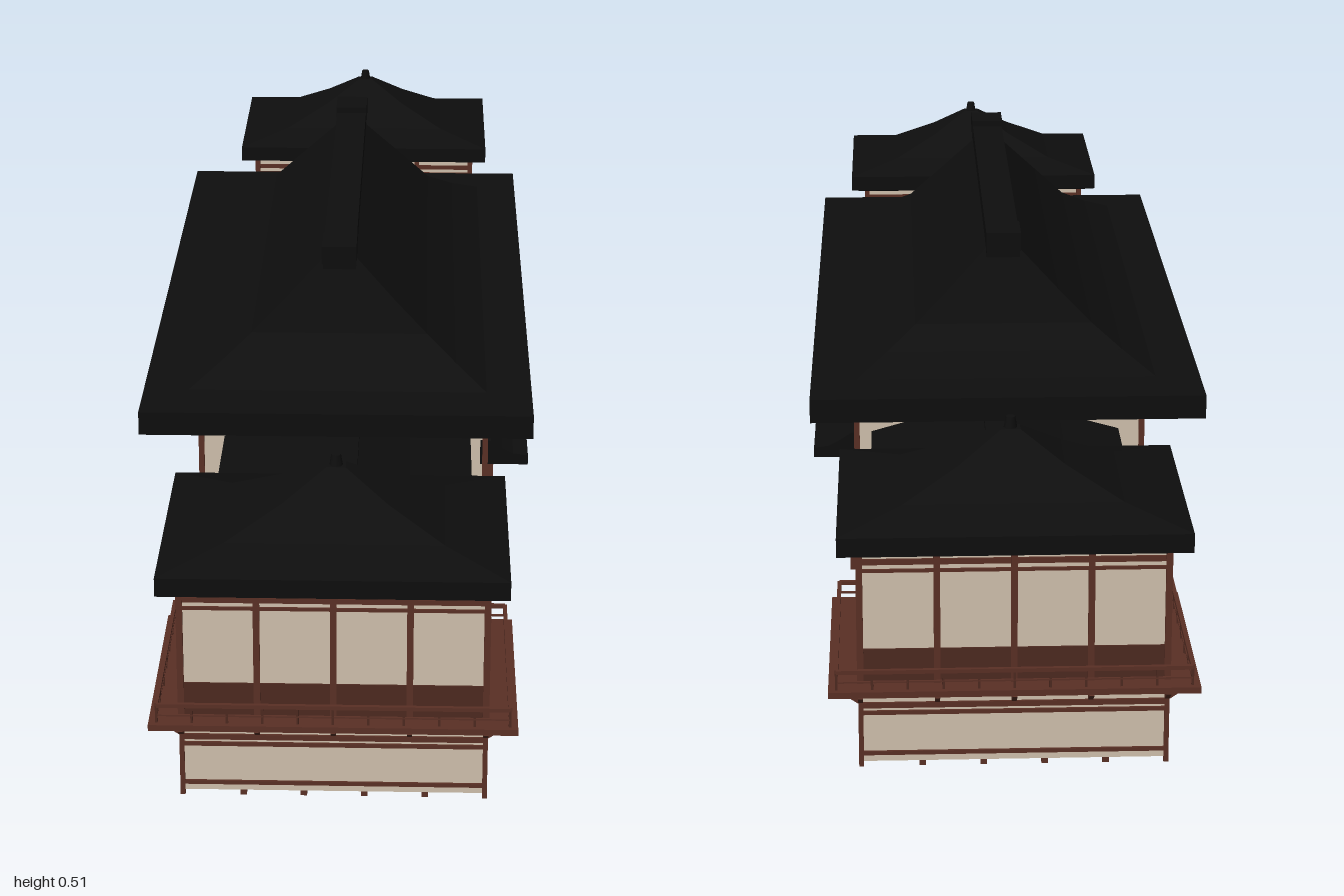
import * as THREE from 'three';

const mat = (name, color, extra = {}) => {
  const m = new THREE.MeshStandardMaterial({ color, ...extra });
  m.name = name;
  return m;
};
const plaster = mat('plaster', 0xd0c1ad);
const timber = mat('timber', 0x5a3025);
const panel = mat('darkPanel', 0x4d2920);
const tile = mat('roofTile', 0x0e0e0e);

function add(parent, name, geo, material) {
  const m = new THREE.Mesh(geo, material);
  m.name = name;
  parent.add(m);
  return m;
}

// Box given by its minimum and maximum on each axis
function box(parent, name, material, x0, x1, y0, y1, z0, z1) {
  const m = add(parent, name, new THREE.BoxGeometry(x1 - x0, y1 - y0, z1 - z0), material);
  m.position.set((x0 + x1) / 2, (y0 + y1) / 2, (z0 + z1) / 2);
  return m;
}

// Stack of rectangles [y, halfX, halfZ] joined into a roof with flat faces
function loft(levels) {
  const pos = [];
  const ring = ([y, a, b]) => [[-a, y, b], [a, y, b], [a, y, -b], [-a, y, -b]];
  const quad = (a, b, c, d) => pos.push(...a, ...b, ...c, ...a, ...c, ...d);
  for (let i = 0; i < levels.length - 1; i++) {
    const lo = ring(levels[i]), hi = ring(levels[i + 1]);
    for (let k = 0; k < 4; k++) {
      const n = (k + 1) % 4;
      quad(lo[k], lo[n], hi[n], hi[k]);
    }
  }
  const [a, b, c, d] = ring(levels[0]);
  quad(d, c, b, a);
  quad(...ring(levels[levels.length - 1]));
  const g = new THREE.BufferGeometry();
  g.setAttribute('position', new THREE.Float32BufferAttribute(pos, 3));
  g.computeVertexNormals();
  return g;
}

// Cross-section in x and y, swept along z
function sweep(points, z0, z1) {
  const shape = new THREE.Shape(points.map(p => new THREE.Vector2(...p)));
  const g = new THREE.ExtrudeGeometry(shape, { depth: z1 - z0, bevelEnabled: false });
  return g.translate(0, 0, z0);
}

// Plastered storey with posts round its edge and rails [y, height] across it
function storey(parent, name, x0, x1, y0, y1, z0, z1, nx, nz, rails, t = 0.004, postBase = y0) {
  const g = new THREE.Group();
  g.name = name;
  parent.add(g);
  box(g, 'plasterWall', plaster, x0, x1, y0, y1, z0, z1);
  const post = (x, z) => box(g, 'wallPost', timber, x - t, x + t, postBase, y1, z - t, z + t);
  for (let i = 0; i <= nx; i++) {
    const x = x0 + (x1 - x0) * i / nx;
    post(x, z0);
    post(x, z1);
  }
  for (let i = 1; i < nz; i++) {
    const z = z0 + (z1 - z0) * i / nz;
    post(x0, z);
    post(x1, z);
  }
  const e = 0.003;
  for (const [y, h] of rails) box(g, 'wallRail', timber, x0 - e, x1 + e, y, y + h, z0 - e, z1 + e);
  return g;
}

// Square ring of thin rails
function ringRail(g, hx, z0, z1, y, h, t) {
  for (const s of [-1, 1]) box(g, 'balconyRail', timber, s * hx - t, s * hx + t, y, y + h, z0, z1);
  for (const z of [z0, z1]) box(g, 'balconyRail', timber, -hx, hx, y, y + h, z - t, z + t);
}

// End pavilion with a balcony and a pointed roof
function pavilion(parent) {
  const g = new THREE.Group();
  g.name = 'pavilion';
  parent.add(g);
  storey(g, 'lowerStorey', -0.187, 0.187, 0.008, 0.105, 0.722, 0.965, 1, 3,
    [[0.017, 0.005], [0.071, 0.005], [0.08, 0.007]], 0.003, 0.002);
  for (let i = 1; i < 5; i++) {
    const x = -0.187 + i * 0.075;
    box(g, 'footing', timber, x - 0.004, x + 0.004, 0, 0.009, 0.955, 0.963);
  }
  storey(g, 'upperStorey', -0.187, 0.187, 0.105, 0.288, 0.722, 0.965, 4, 3,
    [[0.258, 0.004], [0.268, 0.007]]);
  box(g, 'dado', panel, -0.189, 0.189, 0.112, 0.158, 0.72, 0.967);

  box(g, 'balconyDeck', timber, -0.226, 0.226, 0.105, 0.113, 0.7, 0.993);
  ringRail(g, 0.216, 0.708, 0.985, 0.134, 0.005, 0.0025);
  ringRail(g, 0.216, 0.708, 0.985, 0.122, 0.002, 0.0015);
  for (let i = 0; i <= 10; i++) {
    const x = -0.216 + i * 0.0432;
    box(g, 'railPost', panel, x - 0.0015, x + 0.0015, 0.113, 0.135, 0.9835, 0.9865);
  }
  for (const s of [-1, 1]) {
    for (let i = 0; i <= 6; i++) {
      const z = 0.708 + i * 0.046;
      box(g, 'railPost', panel, s * 0.216 - 0.0015, s * 0.216 + 0.0015, 0.113, 0.135, z - 0.0015, z + 0.0015);
    }
    // Slanting struts below the deck
    for (const z of [0.722, 0.803, 0.884, 0.965]) {
      const b = box(g, 'deckStrut', timber, -0.017, 0.017, -0.003, 0.003, -0.003, 0.003);
      b.position.set(s * 0.2, 0.097, z);
      b.rotation.z = s * 0.6;
    }
  }
  for (let i = 0; i < 5; i++) {
    const b = box(g, 'deckStrut', timber, -0.003, 0.003, -0.003, 0.003, -0.015, 0.015);
    b.position.set(-0.187 + i * 0.0935, 0.097, 0.977);
    b.rotation.x = -0.6;
  }

  const roof = add(g, 'pavilionRoof', loft([[0.282, 0.19, 0.125], [0.291, 0.213, 0.154], [0.315, 0.213, 0.154],
    [0.331, 0.135, 0.088], [0.365, 0.065, 0.045], [0.398, 0.012, 0.009]]), tile);
  roof.position.z = 0.845;
  const finial = add(g, 'finial', new THREE.CylinderGeometry(0.006, 0.009, 0.018, 8), tile);
  finial.position.set(0, 0.403, 0.845);
}

// Lower wing between the hall and the pavilion
function wing(parent) {
  const g = new THREE.Group();
  g.name = 'wing';
  parent.add(g);
  storey(g, 'wingWalls', -0.155, 0.155, 0.008, 0.2, 0.33, 0.722, 1, 6,
    [[0.017, 0.004], [0.092, 0.005], [0.104, 0.009], [0.138, 0.003], [0.172, 0.024]], 0.003, 0);
  add(g, 'wingRoof', sweep([[-0.175, 0.196], [0.175, 0.196], [0.175, 0.212], [0.09, 0.236], [0.02, 0.272],
    [0.02, 0.281], [-0.02, 0.281], [-0.02, 0.272], [-0.09, 0.236], [-0.175, 0.212]], 0.33, 0.725), tile);
}

// Central hall with an overhanging upper floor and a hipped gable roof
function hall(parent) {
  const g = new THREE.Group();
  g.name = 'hall';
  parent.add(g);
  box(g, 'hallBase', panel, -0.138, 0.142, 0, 0.113, -0.34, 0.34);
  storey(g, 'hallWalls', -0.197, 0.207, 0.11, 0.288, -0.338, 0.336, 4, 8,
    [[0.11, 0.005], [0.257, 0.004], [0.268, 0.008]]);

  const roof = add(g, 'hallRoof', loft([[0.283, 0.215, 0.4], [0.292, 0.267, 0.522], [0.325, 0.267, 0.522],
    [0.327, 0.205, 0.445], [0.35, 0.163, 0.395], [0.376, 0.123, 0.352], [0.42, 0.078, 0.338],
    [0.475, 0.023, 0.314]]), tile);
  roof.position.z = -0.004;
  box(g, 'ridge', tile, -0.023, 0.023, 0.47, 0.499, -0.35, 0.345);
  for (const s of [-1, 1]) {
    const z = s * 0.33;
    box(g, 'ridgeEnd', tile, -0.024, 0.024, 0.482, 0.508, z - 0.03, z + 0.03);
  }
}

// Entrance porch: two tiers of lean-to roofs on slender posts
function porch(parent) {
  const g = new THREE.Group();
  g.name = 'porch';
  parent.add(g);
  const tier = y => [[0.2, y], [0.268, y], [0.268, y + 0.014], [0.247, y + 0.017], [0.232, y + 0.025],
    [0.215, y + 0.036], [0.2, y + 0.036]];
  add(g, 'sideRoof', sweep(tier(0.174), 0.045, 0.338), tile);
  add(g, 'sideRoof', sweep(tier(0.174), -0.338, -0.045), tile);
  add(g, 'entranceRoof', sweep(tier(0.209), -0.13, 0.158), tile);
  box(g, 'entrance', panel, 0.13, 0.213, 0, 0.21, -0.08, 0.06);
  for (const z of [-0.332, -0.25, -0.168, -0.085, 0.068, 0.168, 0.25, 0.332]) {
    box(g, 'porchPost', timber, 0.211, 0.219, 0, 0.18, z - 0.004, z + 0.004);
  }
  box(g, 'porchBeam', timber, 0.211, 0.219, 0.168, 0.176, -0.332, 0.332);
}

export function createModel() {
  const model = new THREE.Group();
  model.name = 'templeHall';
  hall(model);
  porch(model);
  for (const s of [1, -1]) {
    const end = new THREE.Group();
    end.name = s > 0 ? 'frontEnd' : 'backEnd';
    end.position.x = 0.011;
    if (s < 0) end.rotation.y = Math.PI;
    wing(end);
    pavilion(end);
    model.add(end);
  }
  return model;
}
